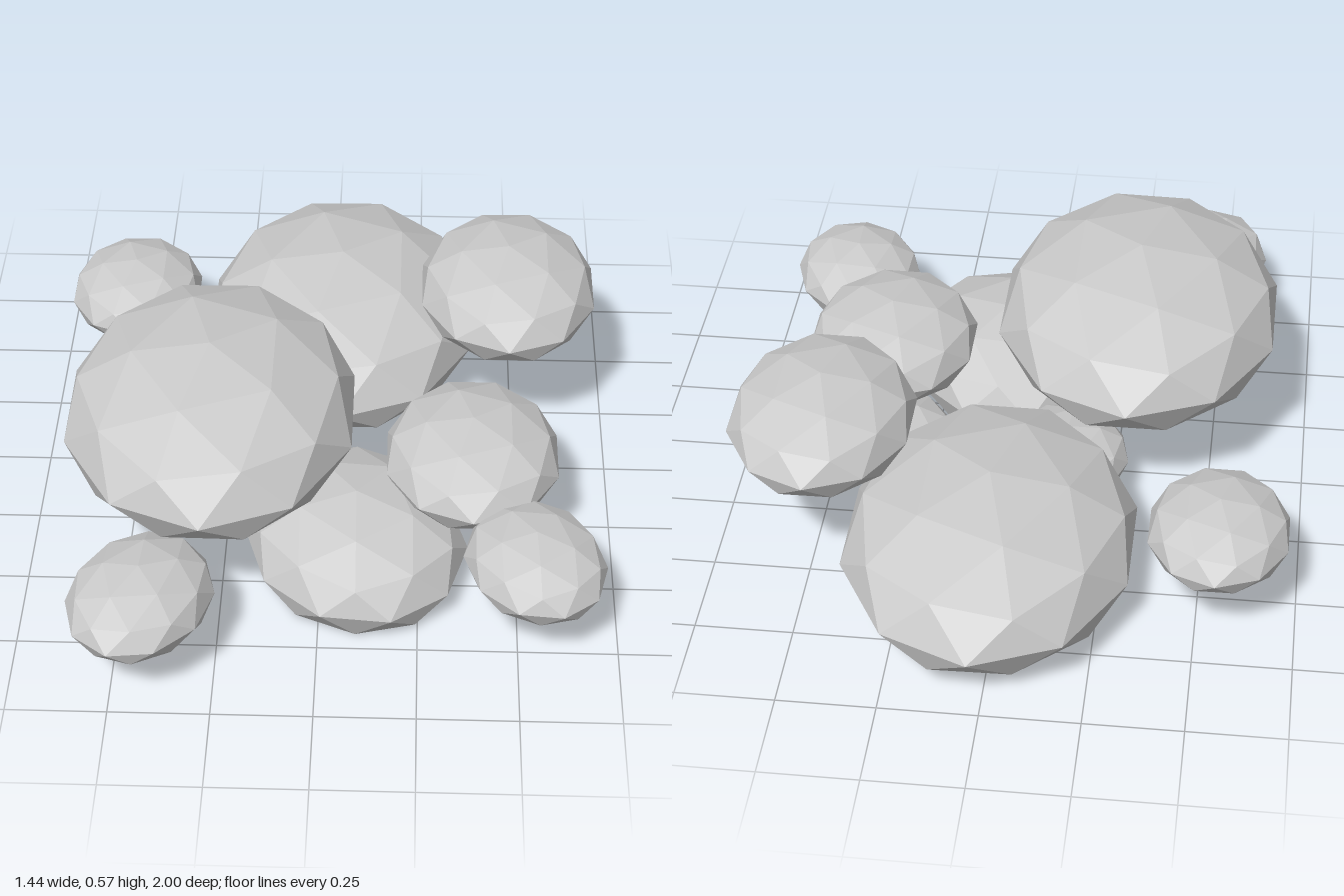
import * as THREE from 'three';

// Unit low-poly puff: once-subdivided icosahedron, pole up, underside cut off
function puffGeometry() {
  const verts = [0, 1, 0];
  const ring = (y, start) => {
    for (let i = 0; i < 5; i++) {
      const a = start + (i * Math.PI * 2) / 5;
      verts.push(0.8944 * Math.sin(a), y, 0.8944 * Math.cos(a));
    }
  };
  ring(0.4472, -Math.PI / 2); // upper ring, one corner towards -x
  ring(-0.4472, -Math.PI / 2 + Math.PI / 5); // lower ring, one corner towards +x
  verts.push(0, -1, 0);

  const faces = [];
  for (let i = 0; i < 5; i++) {
    const j = (i + 1) % 5;
    const u = 1 + i, u2 = 1 + j, l = 6 + i, l2 = 6 + j;
    faces.push(0, u, u2, u, l, u2, l, l2, u2, 11, l2, l);
  }
  const geo = new THREE.PolyhedronGeometry(verts, faces, 1, 1);
  const p = geo.attributes.position;
  for (let i = 0; i < p.count; i++) {
    const y = p.getY(i);
    if (y < -0.6) p.setY(i, -0.4); // nearly flat underside
    else if (y < 0) p.setY(i, y * 0.92); // shallow zigzag rim
  }
  geo.computeVertexNormals();
  return geo;
}

// name, centre x y z, radii x y z, yaw
const PUFFS = [
  ['largeBackPuff', 0.03, 0.154, -0.5, 0.38, 0.205, 0.5, 0],
  ['largeFrontPuff', -0.287, 0.364, 0.248, 0.382, 0.206, 0.498, 0],
  ['upperLeftPuff', 0.482, 0.37, -0.325, 0.243, 0.132, 0.315, 0],
  ['middleLeftPuff', 0.386, 0.225, 0.24, 0.232, 0.12, 0.287, 0],
  ['lowerFrontPuff', 0.09, 0.0765, 0.413, 0.282, 0.158, 0.337, 0.28],
  ['smallBackRightPuff', -0.547, 0.221, -0.498, 0.184, 0.1, 0.225, 0],
  ['smallFrontRightPuff', -0.432, 0.18, 0.781, 0.178, 0.1, 0.229, -0.28],
  ['smallFrontLeftPuff', 0.541, 0.18, 0.615, 0.175, 0.097, 0.222, 0.3],
  ['smallLowerLeftPuff', 0.403, 0.057, 0.037, 0.172, 0.095, 0.217, 1.4],
  ['smallLowerMiddlePuff', -0.127, 0.114, -0.08, 0.162, 0.086, 0.19, 0.2],
];

export function createModel() {
  const model = new THREE.Group();
  model.name = 'cloudCluster';
  const geo = puffGeometry();
  const mat = new THREE.MeshStandardMaterial({ color: 0xcccccc, flatShading: true });
  for (const [name, x, y, z, rx, ry, rz, yaw] of PUFFS) {
    const puff = new THREE.Mesh(geo, mat);
    puff.name = name;
    puff.position.set(x, y, z);
    puff.scale.set(rx, ry, rz);
    puff.rotation.y = yaw;
    model.add(puff);
  }
  return model;
}
